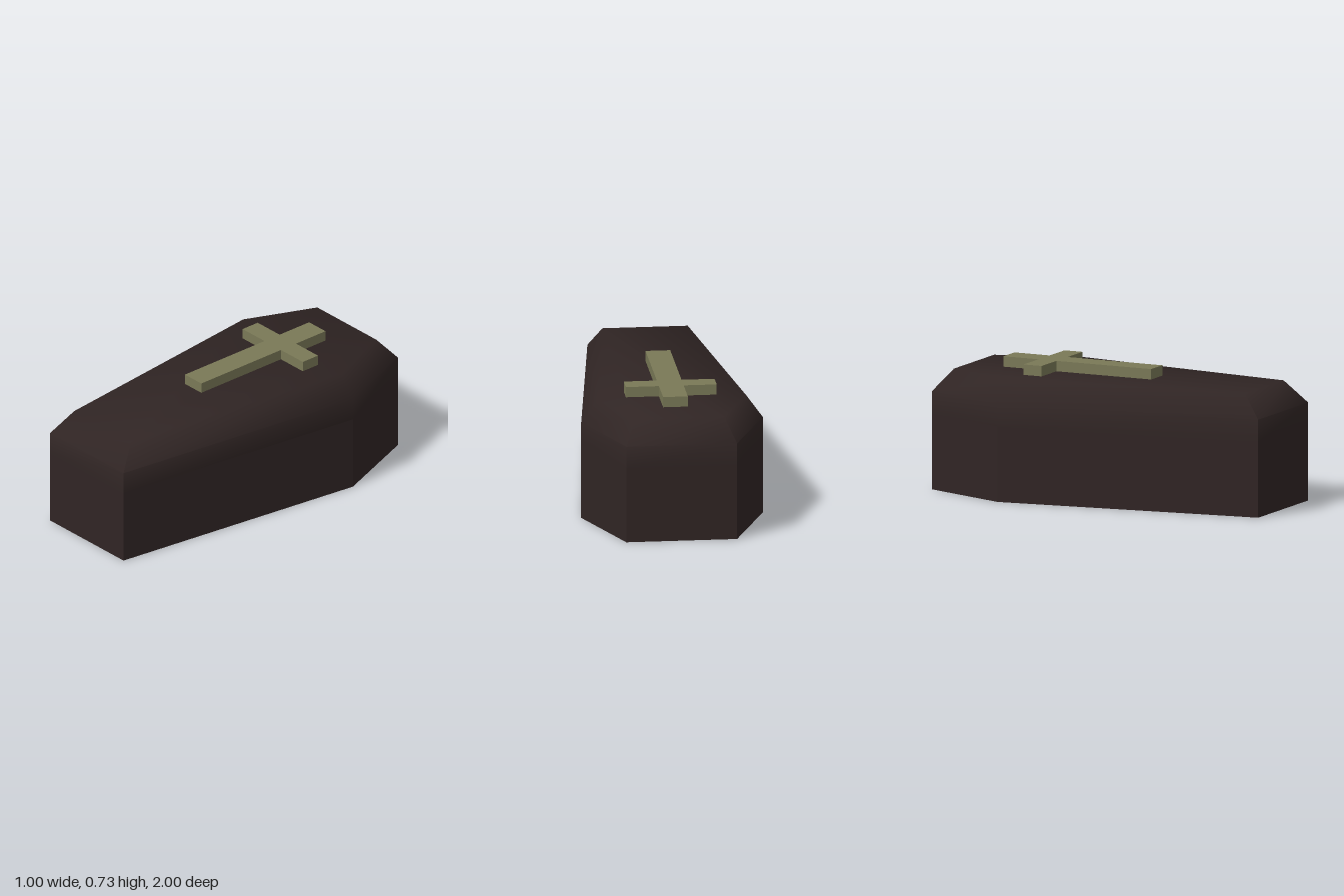
import * as THREE from 'three';
import { toCreasedNormals } from 'three/addons/utils/BufferGeometryUtils.js';

// Six-sided outline from half-widths at foot, shoulder and head
const ring = (y, foot, footZ, shoulder, head, headZ) => [
  [foot, y, footZ], [shoulder, y, -0.5], [head, y, headZ],
  [-head, y, headZ], [-shoulder, y, -0.5], [-foot, y, footZ],
];

// Join rings from bottom to top, optionally closing either end
function loft(rings, capBottom, capTop) {
  const pos = [];
  const tri = (...pts) => pts.forEach((p) => pos.push(...p));
  for (let r = 0; r < rings.length - 1; r++) {
    const a = rings[r], b = rings[r + 1];
    for (let i = 0; i < 6; i++) {
      const j = (i + 1) % 6;
      tri(a[i], a[j], b[j]);
      tri(a[i], b[j], b[i]);
    }
  }
  const low = rings[0], high = rings[rings.length - 1];
  for (let i = 1; i < 5; i++) {
    if (capBottom) tri(low[0], low[i + 1], low[i]);
    if (capTop) tri(high[0], high[i], high[i + 1]);
  }
  const geo = new THREE.BufferGeometry();
  geo.setAttribute('position', new THREE.Float32BufferAttribute(pos, 3));
  geo.computeVertexNormals();
  return geo;
}

export function createModel() {
  const group = new THREE.Group();
  const wood = new THREE.MeshStandardMaterial({ color: 0x302524 });
  wood.name = 'darkWood';
  const brass = new THREE.MeshStandardMaterial({ color: 0x7a7957 });
  brass.name = 'dullBrass';

  const add = (name, geo, mat) => {
    const mesh = new THREE.Mesh(geo, mat);
    mesh.name = name;
    group.add(mesh);
    return mesh;
  };
  const outline = (y) => ring(y, 0.305, 1, 0.5, 0.305, -1);

  // Flat-sided box with a closed floor
  add('box', loft([outline(0), outline(0.42)], true, false), wood);

  // Lid with a softly shaded bevel
  const top = ring(0.67, 0.235, 0.885, 0.41, 0.245, -0.895);
  add('lid', toCreasedNormals(loft([outline(0.42), outline(0.545), top], false, true), 1.1), wood);

  // Raised cross lying on the lid
  const half = [[0.068, -0.225], [0.068, 0.355], [0.25, 0.355], [0.25, 0.465], [0.068, 0.465], [0.068, 0.68]];
  const mirrored = half.map(([x, y]) => [-x, y]).reverse();
  const shape = new THREE.Shape([...half, ...mirrored].map(([x, y]) => new THREE.Vector2(x, y)));
  const crossGeo = new THREE.ExtrudeGeometry(shape, { depth: 0.06, bevelEnabled: false });
  crossGeo.rotateX(-Math.PI / 2);
  add('cross', crossGeo, brass).position.y = 0.668;

  return group;
}
